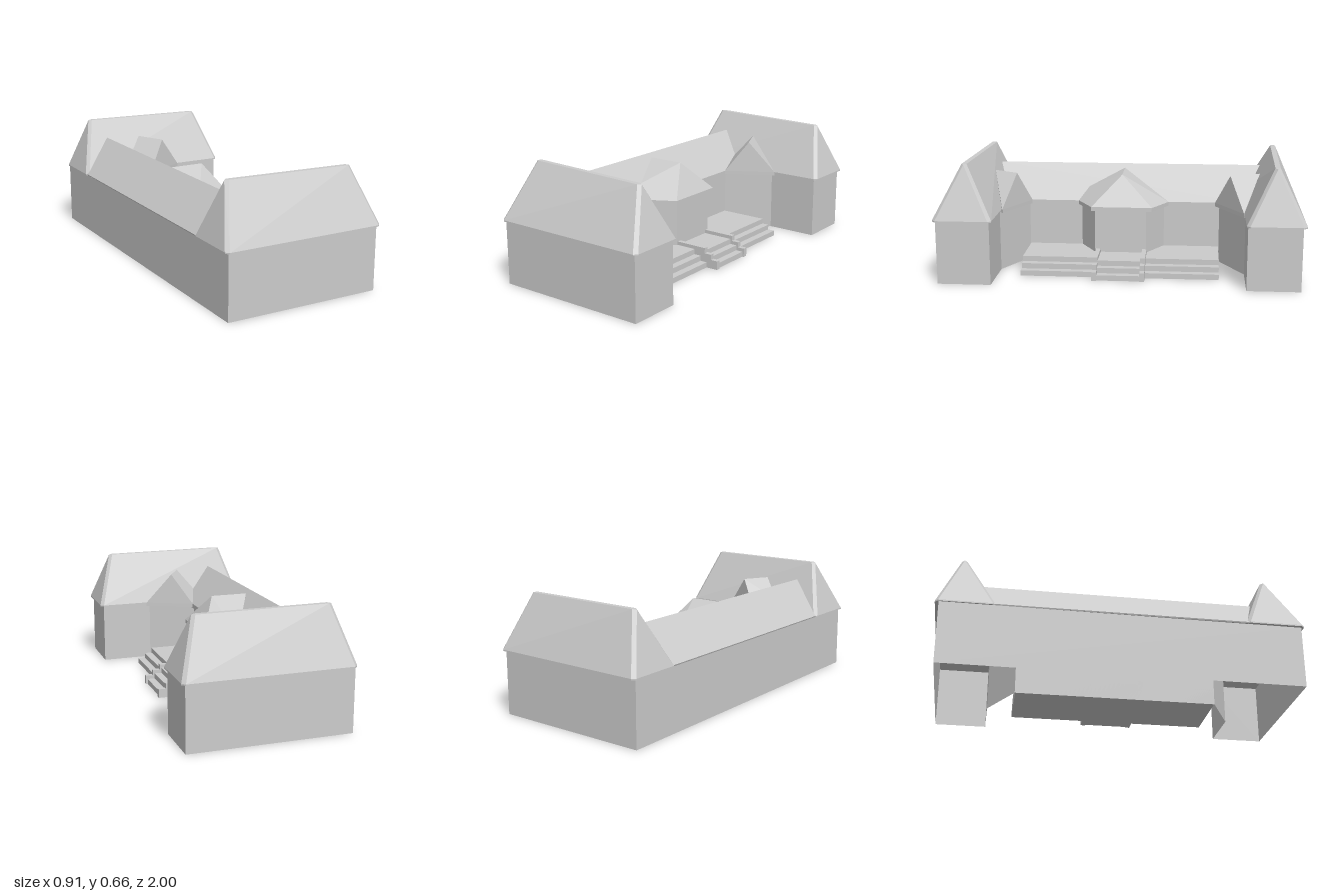
import * as THREE from 'three';
import { ConvexGeometry } from 'three/addons/geometries/ConvexGeometry.js';

const material = new THREE.MeshStandardMaterial({ color: 0xcccccc, flatShading: true });
const wallMaterial = new THREE.MeshStandardMaterial({ color: 0xcccccc, flatShading: true, side: THREE.DoubleSide });

export function createModel() {
  const model = new THREE.Group();
  const add = (name, geometry, mat = material) => {
    const mesh = new THREE.Mesh(geometry, mat);
    mesh.name = name;
    model.add(mesh);
  };

  // Thin upright walls along a plan of [x, z] points, open at top and bottom
  const walls = (name, plan, y0, y1) => {
    const p = [];
    for (let i = 0; i + 1 < plan.length; i++) {
      const [ax, az] = plan[i], [bx, bz] = plan[i + 1];
      p.push(ax, y0, az, bx, y0, bz, bx, y1, bz, ax, y0, az, bx, y1, bz, ax, y1, az);
    }
    const g = new THREE.BufferGeometry();
    g.setAttribute('position', new THREE.Float32BufferAttribute(p, 3));
    g.computeVertexNormals();
    add(name, g, wallMaterial);
  };
  // Convex solid through [x, y, z] corners
  const hull = (name, points) =>
    add(name, new ConvexGeometry(points.map((p) => new THREE.Vector3(...p))));
  // Three-step solid running from the house wall towards +x
  const steps = (name, front, top, z0, z1) => {
    const outline = [[-0.115, 0], [-0.115, top]];
    for (let i = 0; i < 3; i++) {
      const x = front + 0.042 * i;
      outline.push([x, top - 0.03 * i], [x, i === 2 ? 0 : top - 0.03 * (i + 1)]);
    }
    const shape = new THREE.Shape(outline.map(([x, y]) => new THREE.Vector2(x, y)));
    const g = new THREE.ExtrudeGeometry(shape, { depth: z1 - z0, bevelEnabled: false });
    add(name, g.translate(0, 0, z0));
  };

  const wallTop = 0.35, eave = 0.357;

  // Outer walls of main range, end wings and canted corner bays
  walls('houseWalls', [
    [-0.438, 0.985], [0.437, 0.985], [0.437, 0.692], [0.14, 0.692], [-0.115, 0.562],
    [-0.115, -0.55], [0.14, -0.69], [0.437, -0.69], [0.437, -0.98], [-0.45, -0.98], [-0.438, 0.985],
  ], 0, wallTop);

  // Main roof, deeper at its front eave
  const mainRoof = [[-0.272, 0.55, -0.785], [-0.272, 0.55, 0.755]];
  for (const z of [-0.7, 0.7]) {
    mainRoof.push([-0.1, 0.33, z], [-0.1, eave, z], [-0.447, wallTop, z], [-0.45, eave, z]);
  }
  hull('mainRoof', mainRoof);

  // Hipped wing roofs with narrow strips along ridge and hips
  const wingRoof = (name, zMin, zMax, ridgeZ) => {
    const c = 0.018, points = [];
    for (const y of [wallTop, eave]) {
      for (const sx of [-1, 1]) {
        for (const [z, inward] of [[zMin, 1], [zMax, -1]]) {
          points.push([sx * 0.457, y, z + inward * c], [sx * (0.457 - c), y, z]);
        }
      }
    }
    ridgeZ.forEach((z, i) => {
      const s = i ? 1 : -1, y = i ? 0.65 : 0.657;
      points.push([s * 0.362, y - 0.002, z], [s * 0.345, y, z - 0.014], [s * 0.345, y, z + 0.014]);
    });
    hull(name, points);
  };
  wingRoof('frontWingRoof', 0.677, 1, [0.812, 0.836]);
  wingRoof('rearWingRoof', -1, -0.682, [-0.862, -0.842]);

  // Gabled roofs over the corner bays
  for (const [name, s, outer, apex, far, back, valley] of [
    ['frontCornerBayRoof', 1, 0.545, 0.61, 0.672, 0.75, 0.7],
    ['rearCornerBayRoof', -1, 0.525, 0.605, 0.68, 0.775, 0.715],
  ]) {
    const roof = [[0.02, 0.54, s * apex], [-0.06, 0.54, s * back], [-0.155, 0.42, s * valley]];
    for (const y of [0.335, eave]) {
      roof.push([-0.1, y, s * outer], [0.165, y, s * far], [-0.06, y, s * back], [-0.15, y, s * valley]);
    }
    hull(name, roof);
  }

  // Central entrance bay
  walls('entranceBayWalls', [[-0.115, 0.252], [0.05, 0.16], [0.05, -0.132], [-0.115, -0.228]], 0.09, wallTop);
  const porchRoof = [[-0.04, 0.527, 0.01], [-0.25, 0.527, 0.01], [-0.165, 0.428, 0.215]];
  for (const y of [0.335, eave]) {
    porchRoof.push([-0.1, y, -0.255], [0.065, y, -0.165], [0.065, y, 0.18], [-0.1, y, 0.27], [-0.16, y, 0.21], [-0.24, y, 0.01]);
  }
  hull('entranceBayRoof', porchRoof);

  // Terrace on both sides, projecting entrance steps and stepped side walls
  steps('rearTerrace', 0.17, 0.09, -0.547, -0.137);
  steps('frontTerrace', 0.17, 0.09, 0.154, 0.56);
  steps('entranceSteps', 0.23, 0.09, -0.111, 0.128);
  for (const z of [-0.137, 0.128]) steps('stepSideWall', 0.24, 0.11, z, z + 0.026);

  return model;
}
